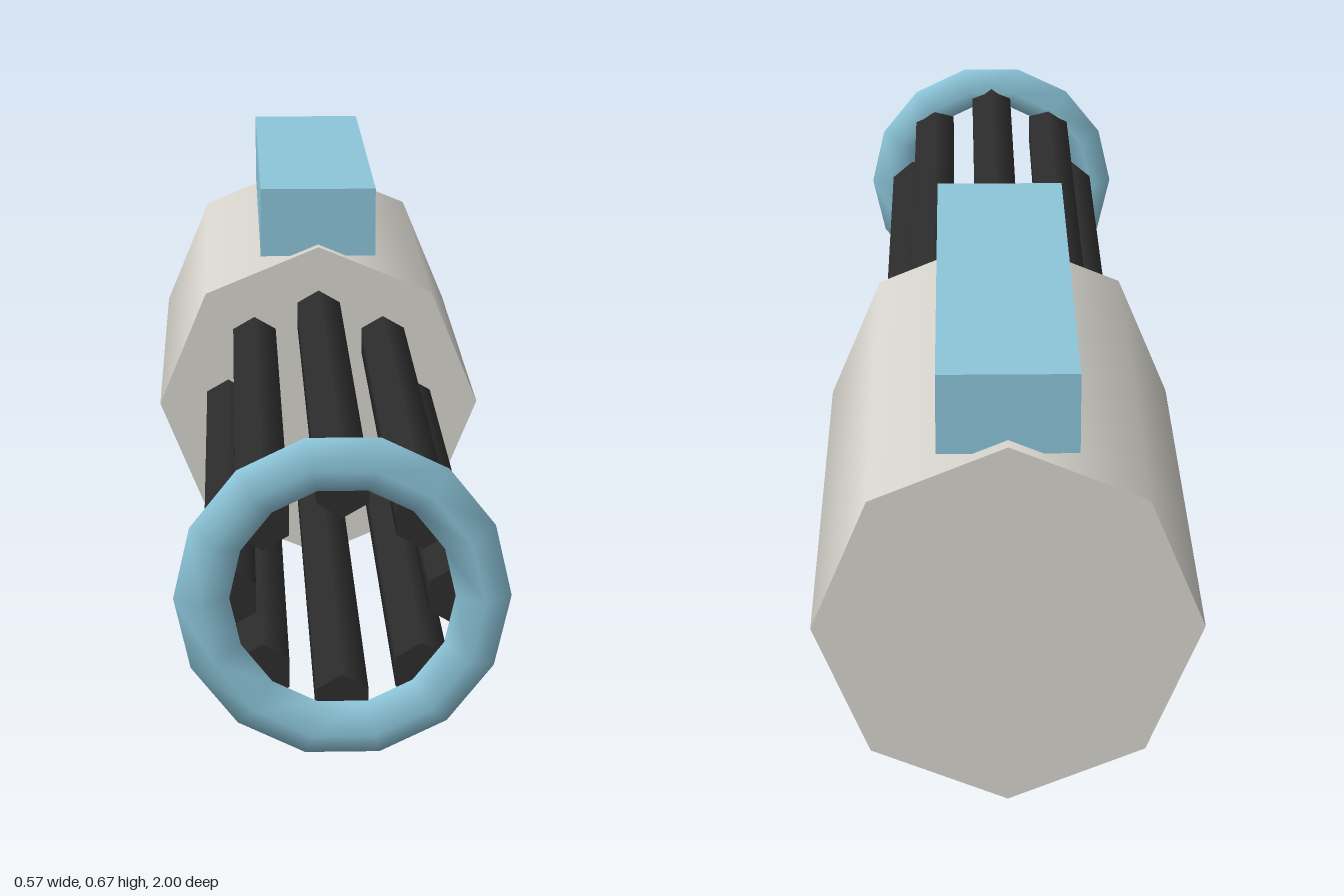
import * as THREE from 'three';

const CENTER_Y = 0.287;

export function createModel() {
  const model = new THREE.Group();
  const mat = (name, color) => {
    const m = new THREE.MeshStandardMaterial({ color });
    m.name = name;
    return m;
  };
  const grey = mat('warm grey', 0xd8d6ce);
  const blue = mat('light blue', 0x8dc6da);
  const black = mat('charcoal', 0x2d2d2d);

  const add = (name, geometry, material, x, y, z) => {
    const mesh = new THREE.Mesh(geometry, material);
    mesh.name = name;
    mesh.position.set(x, y, z);
    model.add(mesh);
  };
  // Prism lying along z with a corner pointing up
  const rod = (radius, length, sides) =>
    new THREE.CylinderGeometry(radius, radius, length, sides).rotateX(Math.PI / 2);

  // Octagonal housing and the block on top of it
  add('housing', rod(0.286, 0.86, 8), grey, 0, CENTER_Y, -0.57);
  add('topBlock', new THREE.BoxGeometry(0.206, 0.122, 0.81), blue, 0, 0.613, -0.57);

  // Eight hexagonal barrels in a circle
  const barrel = rod(0.044, 1.15, 6);
  for (let i = 0; i < 8; i++) {
    const a = (i * Math.PI) / 4;
    add('barrel' + (i + 1), barrel, black,
      Math.cos(a) * 0.163, CENTER_Y + Math.sin(a) * 0.163, 0.385);
  }

  // Ring joining the barrel tips
  add('muzzleRing', new THREE.TorusGeometry(0.204, 0.0405, 4, 14), blue, 0, CENTER_Y, 0.96);

  return model;
}
